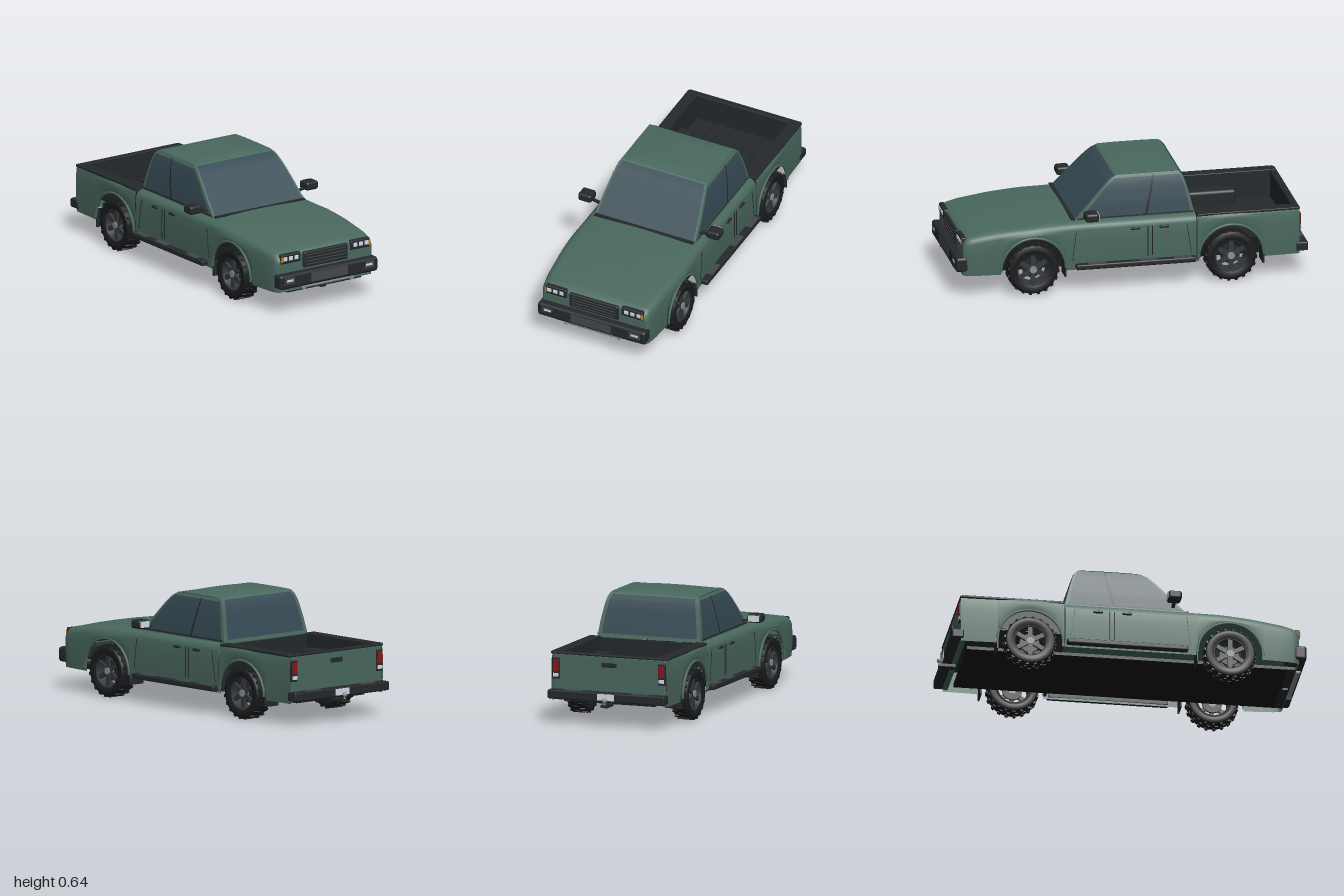
import * as THREE from 'three';
import { mergeGeometries } from 'three/addons/utils/BufferGeometryUtils.js';
import { RoundedBoxGeometry } from 'three/addons/geometries/RoundedBoxGeometry.js';

const mat = (color) => new THREE.MeshStandardMaterial({ color, side: THREE.DoubleSide });
const paint = mat(0x4a695e), glass = mat(0x364a54), black = mat(0x25292c), tyreMat = mat(0x1b1c1e);
const under = mat(0x15171a), metal = mat(0x8c8f92), alloy = mat(0x34383b), plateGrey = mat(0x45494b);
const lens = mat(0xd4dce4), amber = mat(0xd9821e), red = mat(0x8e1515);

const WHEEL_Z = [0.57, -0.535], WHEEL_Y = 0.145, ARCH = 0.178, SILL = 0.125;

// piecewise-linear lookup through [key, value] pairs with rising keys
const table = (rows) => (k) => {
  if (k <= rows[0][0]) return rows[0][1];
  for (let i = 1; i < rows.length; i++) {
    const [a, va] = rows[i - 1], [b, vb] = rows[i];
    if (k <= b) return va + (vb - va) * (k - a) / (b - a);
  }
  return rows[rows.length - 1][1];
};

// skin over rows of equally many points
function skin(rows) {
  const n = rows[0].length, index = [];
  for (let i = 0; i < rows.length - 1; i++)
    for (let j = 0; j < n - 1; j++) {
      const a = i * n + j, b = a + n;
      index.push(a, b, a + 1, b, b + 1, a + 1);
    }
  const g = new THREE.BufferGeometry();
  g.setAttribute('position', new THREE.Float32BufferAttribute(rows.flat(2), 3));
  g.setIndex(index);
  g.computeVertexNormals();
  return g;
}
const patch = (f, nu, nv) => skin(Array.from({ length: nu + 1 }, (_, i) =>
  Array.from({ length: nv + 1 }, (_, j) => f(i / nu, j / nv))));

const topY = table([[0.33, 0.398], [0.5, 0.394], [0.7, 0.38], [0.85, 0.362], [0.92, 0.348], [0.945, 0.335], [0.955, 0.32]]);
const baseW = table([[-0.92, 0.338], [-0.5, 0.345], [0.3, 0.346], [0.7, 0.342], [0.88, 0.334], [0.94, 0.322], [0.955, 0.31]]);
const halfW = (z) => baseW(z) + WHEEL_Z.reduce((s, c) => s + 0.009 * Math.exp(-(((z - c) / 0.15) ** 2)), 0);
const lowY = (z) => Math.max(SILL, ...WHEEL_Z.map((c) => {
  const d = ARCH ** 2 - (z - c) ** 2;
  return d > 1e-9 ? WHEEL_Y + Math.sqrt(d) : 0;
}));
// stations between z0 and z1, denser round a wheel arch
function stations(z0, z1, c) {
  const zs = [z0, z1];
  for (let z = z0; z < z1; z += 0.05) if (Math.abs(z - c) > ARCH + 0.004) zs.push(z);
  for (let i = 0; i <= 24; i++) zs.push(c - ARCH * Math.cos(i / 24 * Math.PI));
  zs.push(c - ARCH - 0.0005, c + ARCH + 0.0005);
  if (z1 > 0.9) zs.push(0.92, 0.935, 0.945);
  return zs.sort((a, b) => a - b);
}
// half cross-section from lower edge to centre line
function bodySection(z) {
  const w = halfW(z), lo = lowY(z), t = topY(z), s = Math.max(t - 0.045, lo + 0.004);
  const half = [[w * 0.99, lo], [w * 1.005, lo + (s - lo) * 0.4], [w * 1.005, lo + (s - lo) * 0.75], [w, s],
    [w * 0.98, s + (t - s) * 0.45], [w * 0.94, s + (t - s) * 0.72], [w * 0.87, s + (t - s) * 0.92], [w * 0.6, t], [w * 0.3, t + 0.004]];
  return [...half.map(([x, y]) => [x, y, z]), [0, t + 0.005, z], ...half.reverse().map(([x, y]) => [-x, y, z])];
}

// cabin outline by height: half width, front z, back z
const cabW = table([[0.39, 0.305], [0.48, 0.295], [0.56, 0.281], [0.605, 0.27], [0.628, 0.259]]);
const cabF = table([[0.39, 0.335], [0.48, 0.25], [0.56, 0.175], [0.605, 0.128], [0.628, 0.088]]);
const cabB = table([[0.39, -0.34], [0.48, -0.318], [0.56, -0.297], [0.605, -0.28], [0.628, -0.258]]);
const mix = (a, b, t) => a + (b - a) * t;
const sidePt = (s, off) => (u, y) => [s * (cabW(y) + off), y, mix(cabB(y), cabF(y), u)];
const endPt = (edge, off) => (u, y) => [mix(-1, 1, u) * cabW(y), y, edge(y) + off];

export function createModel() {
  const truck = new THREE.Group();
  const add = (name, geo, m, x = 0, y = 0, z = 0, parent = truck) => {
    const o = new THREE.Mesh(geo, m);
    o.name = name;
    o.position.set(x, y, z);
    parent.add(o);
    return o;
  };
  const box = (name, m, w, h, d, x, y, z, r = 0) =>
    add(name, r ? new RoundedBoxGeometry(w, h, d, 3, r) : new THREE.BoxGeometry(w, h, d), m, x, y, z);

  // Body: bonnet, wings and doors in one skin, then the nose panel
  add('frontBody', skin(stations(-0.342, 0.955, WHEEL_Z[0]).map(bodySection)), paint);
  const nose = bodySection(0.955);
  add('nosePanel', skin([nose, nose.map(() => [0, SILL, 0.955])]), paint);

  // Cabin shell, roof and glass
  const span = (f, u0, u1, y0, y1) => patch((a, b) => f(mix(u0, u1, a), mix(y0, y1, b)), 4, 12);
  const cabin = [sidePt(1, 0), sidePt(-1, 0), endPt(cabF, 0), endPt(cabB, 0)].map((f) => span(f, 0, 1, 0.39, 0.628));
  add('cabinShell', mergeGeometries(cabin), paint);
  add('roof', patch((u, v) => {
    const a = u * 2 - 1, b = v * 2 - 1;
    return [a * 0.259, 0.628 + 0.011 * (1 - a * a) * (1 - b ** 6) + 0.003 * (1 - b ** 4), mix(-0.258, 0.088, v)];
  }, 10, 10), paint);
  add('windscreen', span(endPt(cabF, 0.004), 0.02, 0.98, 0.402, 0.624), glass);
  add('rearWindow', span(endPt(cabB, -0.004), 0.04, 0.96, 0.41, 0.62), glass);
  box('cowl', black, 0.6, 0.008, 0.02, 0, 0.4, 0.338);

  for (const s of [1, -1]) {
    add('sideWindowFront', span(sidePt(s, 0.003), 0.42, 0.965, 0.408, 0.612), glass);
    add('sideWindowRear', span(sidePt(s, 0.003), 0.03, 0.4, 0.408, 0.612), glass);
    add('doorPillar', span(sidePt(s, 0.004), 0.398, 0.422, 0.402, 0.618), black);
    add('beltTrim', span(sidePt(s, 0.005), 0.01, 0.99, 0.4, 0.409), black);
    // Door seams and handles
    for (const [z, tilt] of [[0.34, 0.12], [-0.07, 0], [-0.095, 0], [-0.3, -0.15]])
      box('doorSeam', black, 0.003, 0.17, 0.003, s * 0.3485, 0.265, z).rotation.x = -tilt;
    for (const z of [0, -0.16]) box('doorHandle', black, 0.014, 0.014, 0.052, s * 0.35, 0.343, z, 0.005);
    // Mirror on its arm
    box('mirror', black, 0.08, 0.048, 0.075, s * 0.389, 0.445, 0.255, 0.014);
    box('mirrorGlass', lens, 0.062, 0.034, 0.003, s * 0.389, 0.445, 0.2165);
    box('mirrorArm', black, 0.07, 0.01, 0.018, s * 0.325, 0.427, 0.26).rotation.z = s * 0.2;
    // Running board with step pads
    box('runningBoard', black, 0.042, 0.03, 0.67, s * 0.363, 0.148, 0, 0.008);
    for (const z of [0.22, -0.07, -0.26]) box('stepPad', plateGrey, 0.032, 0.004, 0.1, s * 0.364, 0.164, z);

    // Cargo bed side panel, rail and lining
    add('bedSide', skin(stations(-0.918, -0.346, WHEEL_Z[1]).map((z) => {
      const w = halfW(z), lo = lowY(z);
      return [[0.99, 0], [1.008, 0.35], [1.008, 0.7], [1, 0.92], [0.98, 1]].map(([k, t]) => [s * w * k, mix(lo, 0.387, t), z]);
    })), paint);
    box('bedRail', black, 0.066, 0.014, 0.565, s * 0.313, 0.39, -0.63, 0.004);
    box('bedLining', black, 0.012, 0.155, 0.55, s * 0.286, 0.31, -0.625);
    box('bedWheelWell', black, 0.09, 0.09, 0.28, s * 0.24, 0.28, -0.54, 0.018);

    // Arch lips, mud flaps
    for (const c of WHEEL_Z) {
      const lip = add('archLip', new THREE.TorusGeometry(ARCH + 0.003, 0.007, 8, 32, Math.PI), paint, s * 0.352, WHEEL_Y, c);
      lip.rotation.y = Math.PI / 2;
      box('mudFlap', black, 0.1, 0.085, 0.008, s * 0.298, 0.13, c - ARCH - 0.003);
    }

    // Headlamp cluster
    box('headlampHousing', black, 0.132, 0.054, 0.03, s * 0.232, 0.312, 0.948, 0.008);
    for (const x of [0.197, 0.235, 0.272]) box('headlamp', lens, 0.026, 0.024, 0.008, s * x, 0.313, 0.962, 0.003);
    box('indicator', amber, 0.009, 0.03, 0.02, s * 0.292, 0.311, 0.955);
    // Fog lamps and bull tube ends
    box('fogHousing', plateGrey, 0.068, 0.04, 0.006, s * 0.264, 0.198, 0.995);
    box('fogLamp', lens, 0.042, 0.012, 0.006, s * 0.264, 0.198, 0.997);
    const cap = add('tubeEnd', new THREE.CylinderGeometry(0.014, 0.014, 0.024, 20), metal, s * 0.16, 0.142, 0.972);
    cap.rotation.x = Math.PI / 2;
    // Tail lamp and bumper step
    box('tailHousing', black, 0.044, 0.118, 0.016, s * 0.312, 0.305, -0.917, 0.004);
    box('tailLamp', red, 0.032, 0.065, 0.008, s * 0.312, 0.322, -0.924);
    box('reverseLamp', lens, 0.032, 0.02, 0.008, s * 0.312, 0.268, -0.924);
    box('bumperStep', plateGrey, 0.1, 0.004, 0.045, s * 0.2, 0.192, -0.938);
  }

  // Cargo bed
  box('bedFloor', black, 0.58, 0.016, 0.56, 0, 0.232, -0.625);
  for (let i = -3; i <= 3; i++) box('bedRib', black, 0.026, 0.01, 0.53, i * 0.062, 0.243, -0.625);
  box('bedFrontWall', black, 0.66, 0.255, 0.012, 0, 0.26, -0.352);
  box('tailgate', paint, 0.66, 0.255, 0.028, 0, 0.258, -0.903, 0.006);
  box('tailgateLining', black, 0.56, 0.15, 0.006, 0, 0.31, -0.887);
  box('tailgateCap', black, 0.68, 0.012, 0.036, 0, 0.389, -0.903, 0.004);
  box('tailgateHandle', black, 0.085, 0.026, 0.008, 0, 0.338, -0.918, 0.003);

  // Front trim
  box('grille', black, 0.298, 0.09, 0.03, 0, 0.287, 0.951, 0.01);
  for (let i = 0; i < 4; i++) box('grilleBar', plateGrey, 0.268, 0.004, 0.006, 0, 0.26 + i * 0.018, 0.966);
  box('frontBumper', black, 0.655, 0.082, 0.07, 0, 0.191, 0.963, 0.016);
  box('frontPlate', plateGrey, 0.246, 0.05, 0.005, 0, 0.193, 0.9975);
  const tube = add('frontTube', new THREE.CylinderGeometry(0.011, 0.011, 0.32, 16), metal, 0, 0.142, 0.972);
  tube.rotation.z = Math.PI / 2;
  box('skidPlate', black, 0.5, 0.022, 0.05, 0, 0.125, 0.925, 0.006);
  box('towEye', black, 0.034, 0.016, 0.03, 0, 0.111, 0.925);

  // Rear bumper and hitch
  box('rearBumper', black, 0.69, 0.05, 0.066, 0, 0.166, -0.934, 0.008);
  box('rearPlate', lens, 0.1, 0.036, 0.004, 0, 0.167, -0.968);
  box('hitchBar', black, 0.04, 0.016, 0.09, 0, 0.12, -0.945);
  add('hitchPost', new THREE.CylinderGeometry(0.006, 0.006, 0.024, 12), metal, 0, 0.136, -0.984);
  add('hitchBall', new THREE.SphereGeometry(0.014, 16, 12), metal, 0, 0.152, -0.986);

  // Underbody
  box('underbody', under, 0.5, 0.018, 1.78, 0, 0.125, 0.02);

  // Wheels
  const lathe = (pts, n) => new THREE.LatheGeometry(pts.map(([r, y]) => new THREE.Vector2(r, y)), n).rotateZ(Math.PI / 2);
  const tyre = lathe([[0.092, -0.044], [0.108, -0.05], [0.126, -0.05], [0.136, -0.044], [0.14, -0.034],
    [0.14, 0.034], [0.136, 0.044], [0.126, 0.05], [0.108, 0.05], [0.092, 0.044], [0.092, -0.044]], 48);
  const rim = lathe([[0.095, -0.04], [0.095, 0.044], [0.088, 0.046], [0.084, 0.038], [0.084, -0.04], [0.095, -0.04]], 40);
  const lugs = [], spokes = [];
  for (let i = 0; i < 60; i++) {
    const row = i % 3 - 1;
    lugs.push(new THREE.BoxGeometry(0.026, 0.008, 0.016).rotateY(row * 0.2)
      .translate(row * 0.031, 0.141, 0).rotateX((i + (row ? 0 : 0.5)) / 60 * Math.PI * 2));
  }
  for (let i = 0; i < 6; i++)
    spokes.push(new THREE.BoxGeometry(0.014, 0.075, 0.024).translate(0.03, 0.052, 0).rotateX(i * Math.PI / 3));
  const treads = mergeGeometries(lugs), star = mergeGeometries(spokes);
  const disc = (r, w) => new THREE.CylinderGeometry(r, r, w, 28).rotateZ(Math.PI / 2);
  for (const s of [1, -1]) for (const z of WHEEL_Z) {
    const wheel = new THREE.Group();
    wheel.name = 'wheel';
    wheel.position.set(s * 0.31, WHEEL_Y, z);
    if (s < 0) wheel.rotation.y = Math.PI;
    truck.add(wheel);
    add('tyre', tyre, tyreMat, 0, 0, 0, wheel);
    add('tread', treads, tyreMat, 0, 0, 0, wheel);
    add('rim', rim, alloy, 0, 0, 0, wheel);
    add('spokes', star, alloy, 0, 0, 0, wheel);
    add('brakeDisc', disc(0.055, 0.012), black, 0, 0, 0, wheel);
    add('hub', disc(0.02, 0.05), metal, 0.018, 0, 0, wheel);
  }
  return truck;
}
